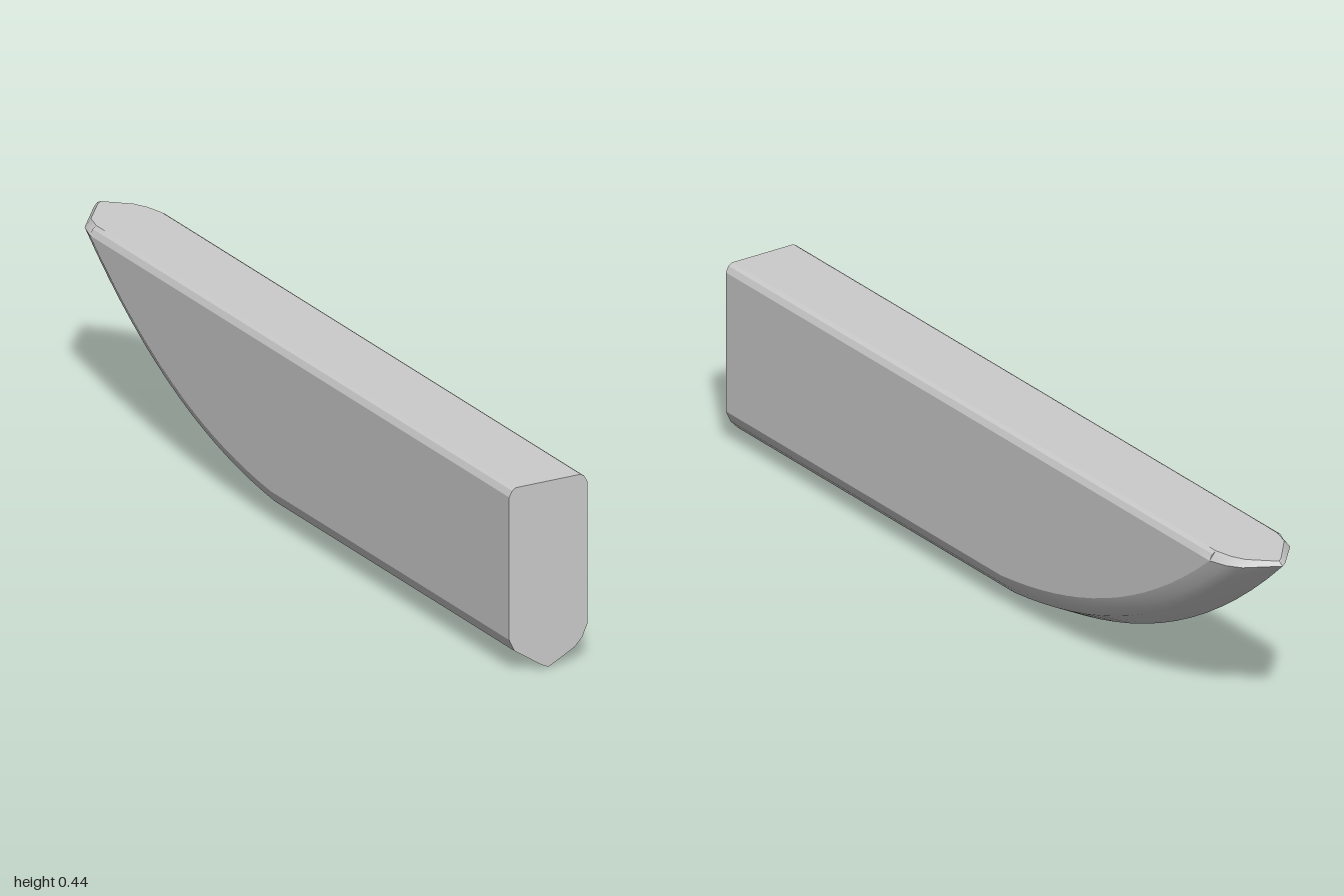
import * as THREE from 'three';
import { toCreasedNormals } from 'three/addons/utils/BufferGeometryUtils.js';

const TOP = 0.442, BEND = -0.067, STEPS = 16, SHOULDER = 0.083;

// Cross-section, counter-clockwise from the keel; lower points are offsets from the keel line
const profile = [
  [0, 0], [0.067, 0.034], [0.087, 0.055], [0.1, SHOULDER],
  [0.1, 0.422], [0.0925, 0.436], [0.083, TOP],
  [-0.083, TOP], [-0.0925, 0.436], [-0.1, 0.422],
  [-0.1, SHOULDER], [-0.087, 0.055], [-0.018, 0.009],
];

// Point at distance d inside the rising keel curve, s behind the bend
function offsetPoint(s, d) {
  const m = 0.1 * s ** 0 + 0.56 * s + 0.36 * s * s;
  const y = 0.1 * s + 0.28 * s * s + 0.12 * s ** 3;
  const len = Math.hypot(1, m);
  return { y: y + d / len, z: BEND - s + (d * m) / len };
}

// Where the offset curve reaches the deck edge
function strandEnd(d, x) {
  const limit = 0.435 - Math.abs(x) * 0.13;
  let lo = 0, hi = 1.2;
  for (let k = 0; k < 30; k++) {
    const mid = (lo + hi) / 2;
    if (offsetPoint(mid, d).y < limit) lo = mid; else hi = mid;
  }
  return lo;
}

function strandPoint(x, d, t) {
  return offsetPoint(t * strandEnd(d, x), d);
}

function hullGeometry() {
  const n = profile.length, pos = [], index = [];

  // Straight front section
  for (const [x, y] of profile) pos.push(x, y, 1);

  // Sections along the curved end
  for (let r = 0; r <= STEPS; r++) {
    const side = strandPoint(0.1, SHOULDER, r / STEPS);
    for (const [x, v] of profile) {
      if (v > 0.4) pos.push(x, Math.max(v, side.y), side.z);
      else {
        const p = strandPoint(x, v, r / STEPS);
        pos.push(x, p.y, p.z);
      }
    }
  }

  // Inset deck edge around the pointed end
  const last = (STEPS + 1) * n;
  for (let i = 0; i < n; i++) {
    const x = pos[(last + i) * 3], z = pos[(last + i) * 3 + 2];
    const deckX = profile[i][1] > 0.4 ? Math.sign(x) * 0.083 : x * 0.83;
    pos.push(deckX, TOP, z + 0.014 * (1 - Math.abs(x) / 0.1));
  }

  // Skin between sections
  const rings = STEPS + 3;
  for (let r = 0; r < rings - 1; r++) {
    for (let i = 0; i < n; i++) {
      const a = r * n + i, b = r * n + (i + 1) % n;
      index.push(a, a + n, b, b, a + n, b + n);
    }
  }

  // Front face and pointed deck
  const cap = (rings - 1) * n;
  for (let i = 1; i < n - 1; i++) {
    index.push(0, i, i + 1);
    index.push(cap, cap + i + 1, cap + i);
  }

  const geo = new THREE.BufferGeometry();
  geo.setAttribute('position', new THREE.Float32BufferAttribute(pos, 3));
  geo.setIndex(index);
  return toCreasedNormals(geo, 0.42);
}

export function createModel() {
  const group = new THREE.Group();
  const hull = new THREE.Mesh(
    hullGeometry(),
    new THREE.MeshStandardMaterial({ color: 0xcccccc })
  );
  hull.name = 'curvedBeam';
  group.add(hull);
  return group;
}
